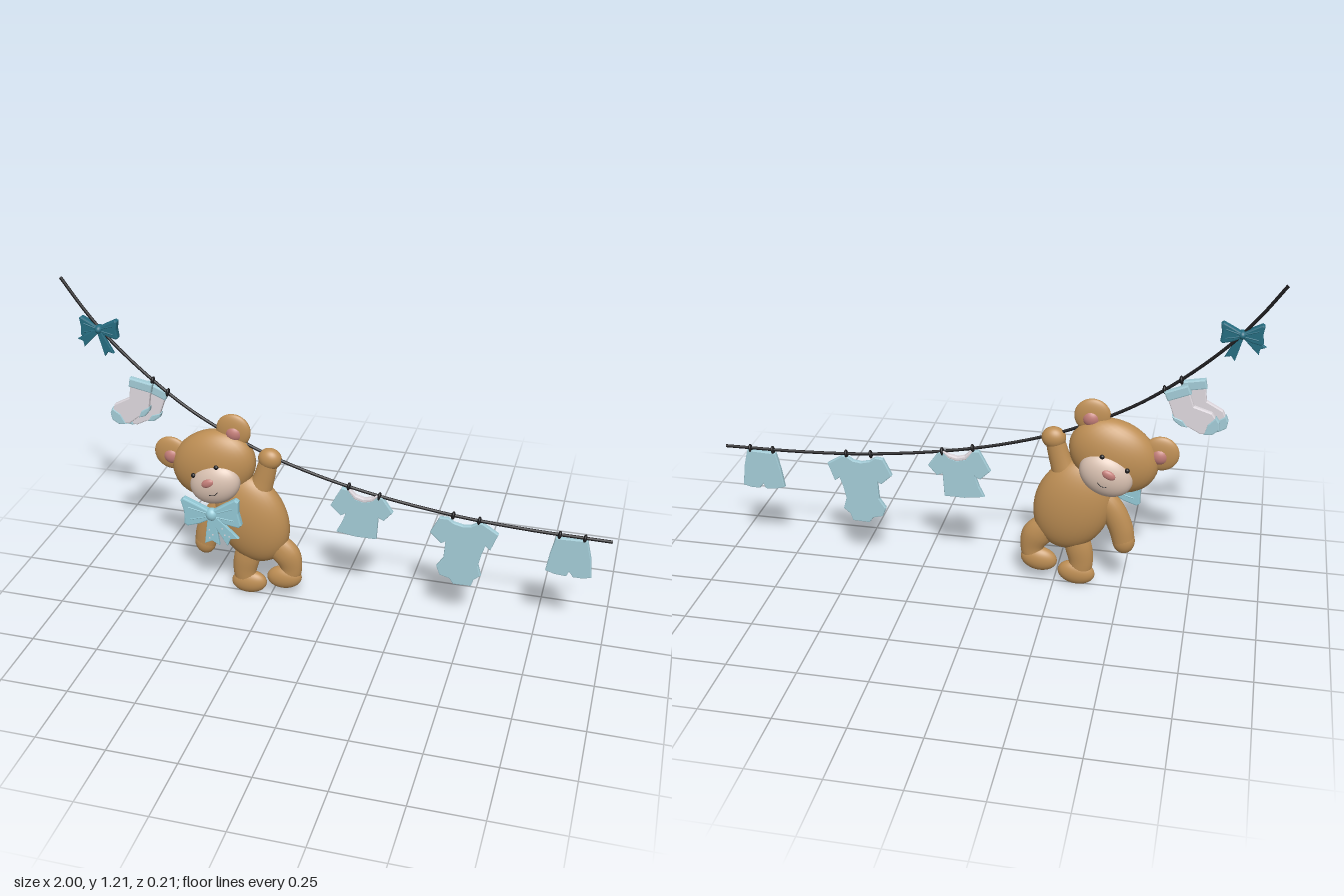
import * as THREE from 'three';

const mat = (name, color) => Object.assign(new THREE.MeshStandardMaterial({ color }), { name });
const M = {
  fur: mat('tan fur', 0xbd8e54),
  muzzle: mat('pale muzzle', 0xd8c0b0),
  pink: mat('dusty pink', 0xc27d78),
  black: mat('black', 0x1b1a1c),
  cloth: mat('light blue cloth', 0xa4cdd8),
  ribbon: mat('bright blue ribbon', 0x93c8d5),
  teal: mat('dark teal ribbon', 0x256c80),
  white: mat('soft white', 0xdfd9df),
};

function add(parent, name, geo, material, x = 0, y = 0, z = 0) {
  const m = new THREE.Mesh(geo, material);
  m.name = name;
  m.position.set(x, y, z);
  parent.add(m);
  return m;
}

// Ellipsoid with radii [rx, ry, rz], turned about z
function ball(parent, name, material, [x, y, z], r, turn = 0) {
  const m = add(parent, name, new THREE.SphereGeometry(1, 36, 24), material, x, y, z);
  m.scale.set(...r);
  m.rotation.z = turn;
  return m;
}

// Flat outline given a thickness centred on z, with slightly rounded edges
function plate(parent, name, points, depth, material, z = 0) {
  const shape = new THREE.Shape(points.map(p => new THREE.Vector2(...p)));
  const b = depth * 0.2;
  const geo = new THREE.ExtrudeGeometry(shape, {
    depth: depth - 2 * b, bevelEnabled: true, bevelThickness: b, bevelSize: b, bevelOffset: -b, bevelSegments: 2,
  });
  geo.translate(0, 0, b - depth / 2);
  return add(parent, name, geo, material, 0, 0, z);
}

// Soft limb swept along points [x, y, radius], flattened in z
function limb(parent, name, points, flat) {
  const curve = new THREE.CatmullRomCurve3(points.map(p => new THREE.Vector3(...p)));
  const rows = 24, cols = 20, pos = [], idx = [];
  for (let i = 0; i <= rows; i++) {
    const p = curve.getPoint(i / rows), t = curve.getTangent(i / rows);
    const len = Math.hypot(t.x, t.y), nx = t.y / len, ny = -t.x / len;
    for (let j = 0; j <= cols; j++) {
      const a = j / cols * Math.PI * 2, c = Math.cos(a) * p.z;
      pos.push(p.x + nx * c, p.y + ny * c, Math.sin(a) * p.z * flat);
    }
  }
  for (let i = 0; i < rows; i++) for (let j = 0; j < cols; j++) {
    const a = i * (cols + 1) + j, b = a + cols + 1;
    idx.push(a, b, a + 1, a + 1, b, b + 1);
  }
  const geo = new THREE.BufferGeometry();
  geo.setAttribute('position', new THREE.Float32BufferAttribute(pos, 3));
  geo.setIndex(idx);
  geo.computeVertexNormals();
  add(parent, name, geo, M.fur);
}

function tube(parent, name, points, r, material, seg = 24) {
  const curve = new THREE.CatmullRomCurve3(points.map(([x, y, z = 0]) => new THREE.Vector3(x, y, z)));
  add(parent, name, new THREE.TubeGeometry(curve, seg, r, 8), material);
}

// Ribbon bow: two loops, a knot and two tails
function bow(parent, name, material, s, tails) {
  const g = new THREE.Group();
  g.name = name;
  parent.add(g);
  for (const k of [-1, 1]) {
    const loop = [[0.006, 0.018], [0.05, 0.042], [0.1, 0.068], [0.113, 0.058], [0.106, 0.01],
      [0.112, -0.04], [0.1, -0.05], [0.05, -0.038], [0.006, -0.018]];
    // Mirrored outlines are reversed so that they keep their turning sense
    const pts = loop.map(([x, y]) => [x * k * s, y * s]);
    plate(g, 'bowLoop', k < 0 ? pts.reverse() : pts, 0.026, material);
    for (const [y0, y1] of [[0.008, 0.03], [-0.006, -0.02]])
      for (const z of [0.0125, -0.0125])
        tube(g, 'bowFold', [[0.015 * k * s, y0 * s, z], [0.085 * k * s, y1 * s, z]], 0.0025, material, 2);
  }
  ball(g, 'bowKnot', material, [0, 0, 0.002], [0.024 * s, 0.026 * s, 0.022]);
  for (const [x, y] of tails) {
    const l = Math.hypot(x, y), nx = -y / l, ny = x / l, w = 0.029 * s;
    const at = (f, o) => [x * f + nx * o, y * f + ny * o];
    plate(g, 'bowTail', [at(0, -w * 0.4), at(0.55, -w * 0.75), at(1, -w), at(0.88, 0), at(1, w), at(0.55, w * 0.75), at(0, w * 0.4)],
      0.014, material, 0.008);
  }
  return g;
}

function addBear(root) {
  const bear = new THREE.Group();
  bear.name = 'bear';
  root.add(bear);
  ball(bear, 'body', M.fur, [-0.315, 0.335, 0], [0.14, 0.185, 0.07], 0.3);

  // Arms
  limb(bear, 'raisedArm', [[-0.34, 0.36, 0.03], [-0.295, 0.43, 0.047], [-0.265, 0.51, 0.04], [-0.242, 0.595, 0.034]], 0.75);
  ball(bear, 'raisedPaw', M.fur, [-0.24, 0.594, 0], [0.044, 0.041, 0.032]);
  limb(bear, 'loweredArm', [[-0.39, 0.41, 0.03], [-0.45, 0.34, 0.045], [-0.49, 0.26, 0.045], [-0.504, 0.2, 0.041]], 0.75);
  ball(bear, 'loweredPaw', M.fur, [-0.504, 0.203, 0], [0.041, 0.05, 0.031]);

  // Legs and feet
  limb(bear, 'rightLeg', [[-0.31, 0.25, 0.04], [-0.34, 0.16, 0.05], [-0.35, 0.1, 0.045], [-0.345, 0.045, 0.04]], 0.65);
  ball(bear, 'rightFoot', M.fur, [-0.334, 0.051, 0], [0.069, 0.047, 0.032], 0.1);
  limb(bear, 'leftLeg', [[-0.25, 0.25, 0.05], [-0.185, 0.195, 0.055], [-0.167, 0.135, 0.042], [-0.18, 0.09, 0.04]], 0.62);
  ball(bear, 'leftFoot', M.fur, [-0.194, 0.094, 0], [0.068, 0.047, 0.032], 0.15);

  // Head with a face on both sides
  const head = new THREE.Group();
  head.name = 'head';
  head.position.set(-0.455, 0.545, 0);
  head.rotation.z = 0.47;
  bear.add(head);
  ball(head, 'skull', M.fur, [0, 0, 0], [0.166, 0.134, 0.074]);
  for (const k of [-1, 1]) {
    ball(head, 'ear', M.fur, [0.137 * k, 0.094, 0], [0.065, 0.065, 0.02]);
    ball(head, 'innerEar', M.pink, [0.137 * k, 0.086, 0], [0.035, 0.035, 0.028]);
  }
  for (const f of [-1, 1]) {
    ball(head, 'muzzle', M.muzzle, [-0.007, -0.056, 0.05 * f], [0.1, 0.08, 0.05]);
    ball(head, 'nose', M.pink, [-0.01, -0.033, 0.094 * f], [0.026, 0.016, 0.01]);
    for (const k of [-1, 1])
      ball(head, 'eye', M.black, [-0.01 + 0.05 * k, 0.006, 0.071 * f], [0.009, 0.009, 0.008]);
    tube(head, 'mouth', [[-0.027, -0.077, 0.097 * f], [-0.008, -0.084, 0.0965 * f], [0.011, -0.077, 0.097 * f]], 0.0015, M.black, 8);
  }

  // Neck bow with speckled tails
  const neckBow = bow(bear, 'neckBow', M.ribbon, 1, [[-0.012, -0.122], [0.072, -0.11]]);
  neckBow.position.set(-0.444, 0.374, 0.076);
  neckBow.rotation.z = 0.1;
  for (const [x, y] of [[-0.014, -0.06], [-0.004, -0.08], [-0.018, -0.095], [0.037, -0.052], [0.044, -0.08], [0.06, -0.085]])
    add(neckBow, 'speckle', new THREE.CircleGeometry(0.0035, 10), M.white, x, y, 0.0155);
}

// Sock hung by the middle of its cuff
function addSock(root, x, y, z, turn) {
  const g = new THREE.Group();
  g.name = 'sock';
  g.position.set(x, y, z);
  g.rotation.z = turn;
  root.add(g);
  plate(g, 'sockFoot', [[-0.04, 0.008], [0.04, -0.008], [0.03, -0.056], [0.022, -0.11], [0.004, -0.134], [-0.021, -0.145],
    [-0.056, -0.174], [-0.096, -0.179], [-0.121, -0.165], [-0.126, -0.14], [-0.109, -0.102], [-0.051, -0.07]], 0.02, M.white);
  plate(g, 'sockCuff', [[-0.043, 0.011], [0.043, -0.005], [0.035, -0.04], [-0.05, -0.024]], 0.024, M.cloth);
  plate(g, 'sockToe', [[-0.068, -0.179], [-0.099, -0.182], [-0.124, -0.167], [-0.129, -0.14], [-0.12, -0.118], [-0.088, -0.14]], 0.024, M.cloth);
  plate(g, 'sockHeel', [[0.029, -0.095], [0.025, -0.115], [0.006, -0.137], [-0.018, -0.145], [-0.006, -0.115]], 0.024, M.cloth);
}

export function createModel() {
  const root = new THREE.Group();
  root.name = 'clothesline';

  // Sagging line
  tube(root, 'line', [[-1, 1.215], [-0.915, 1.095], [-0.82, 0.985], [-0.67, 0.85], [-0.52, 0.742], [-0.31, 0.635], [-0.12, 0.567],
    [0.12, 0.508], [0.44, 0.461], [0.71, 0.444], [1, 0.44]], 0.006, M.black, 90);

  // Pegs
  for (const [x, y] of [[-0.675, 0.852], [-0.62, 0.812], [0.055, 0.522], [0.168, 0.498], [0.438, 0.46], [0.532, 0.453], [0.817, 0.44], [0.905, 0.439]])
    ball(root, 'peg', M.black, [x, y, 0], [0.007, 0.016, 0.013], -0.15);

  // Dark bow at the high end
  const topBow = bow(root, 'topBow', M.teal, 0.64, [[-0.07, -0.056], [0.036, -0.092]]);
  topBow.position.set(-0.866, 1.033, 0);

  // Socks
  addSock(root, -0.714, 0.85, 0.01, 0);
  addSock(root, -0.66, 0.823, -0.01, -0.2);

  // Shirt, with a pale collar
  plate(root, 'shirt', [[0.03, 0.516], [0.008, 0.475], [-0.012, 0.437], [0.027, 0.4], [0.045, 0.412], [0.03, 0.37], [0.01, 0.33],
    [0.085, 0.319], [0.16, 0.32], [0.163, 0.365], [0.166, 0.412], [0.187, 0.402], [0.22, 0.44], [0.182, 0.495], [0.163, 0.502],
    [0.143, 0.48], [0.112, 0.47], [0.08, 0.479], [0.055, 0.512]], 0.018, M.cloth);
  plate(root, 'collar', [[0.05, 0.514], [0.078, 0.476], [0.112, 0.467], [0.145, 0.477], [0.168, 0.502], [0.158, 0.503],
    [0.14, 0.49], [0.112, 0.483], [0.083, 0.491], [0.06, 0.514]], 0.02, M.white);

  // Bodysuit
  plate(root, 'bodysuit', [[0.39, 0.447], [0.358, 0.382], [0.4, 0.342], [0.415, 0.352], [0.41, 0.281], [0.385, 0.243], [0.398, 0.208],
    [0.435, 0.198], [0.45, 0.176], [0.515, 0.178], [0.524, 0.206], [0.549, 0.227], [0.537, 0.27], [0.548, 0.32], [0.56, 0.355],
    [0.578, 0.34], [0.604, 0.41], [0.545, 0.447], [0.524, 0.443], [0.505, 0.43], [0.475, 0.426], [0.442, 0.434], [0.42, 0.45]], 0.018, M.cloth);

  // Shorts
  plate(root, 'shorts', [[0.805, 0.43], [0.789, 0.365], [0.777, 0.291], [0.81, 0.281], [0.852, 0.278], [0.861, 0.298], [0.876, 0.278],
    [0.91, 0.278], [0.94, 0.286], [0.933, 0.36], [0.916, 0.434]], 0.018, M.cloth);

  addBear(root);
  return root;
}
